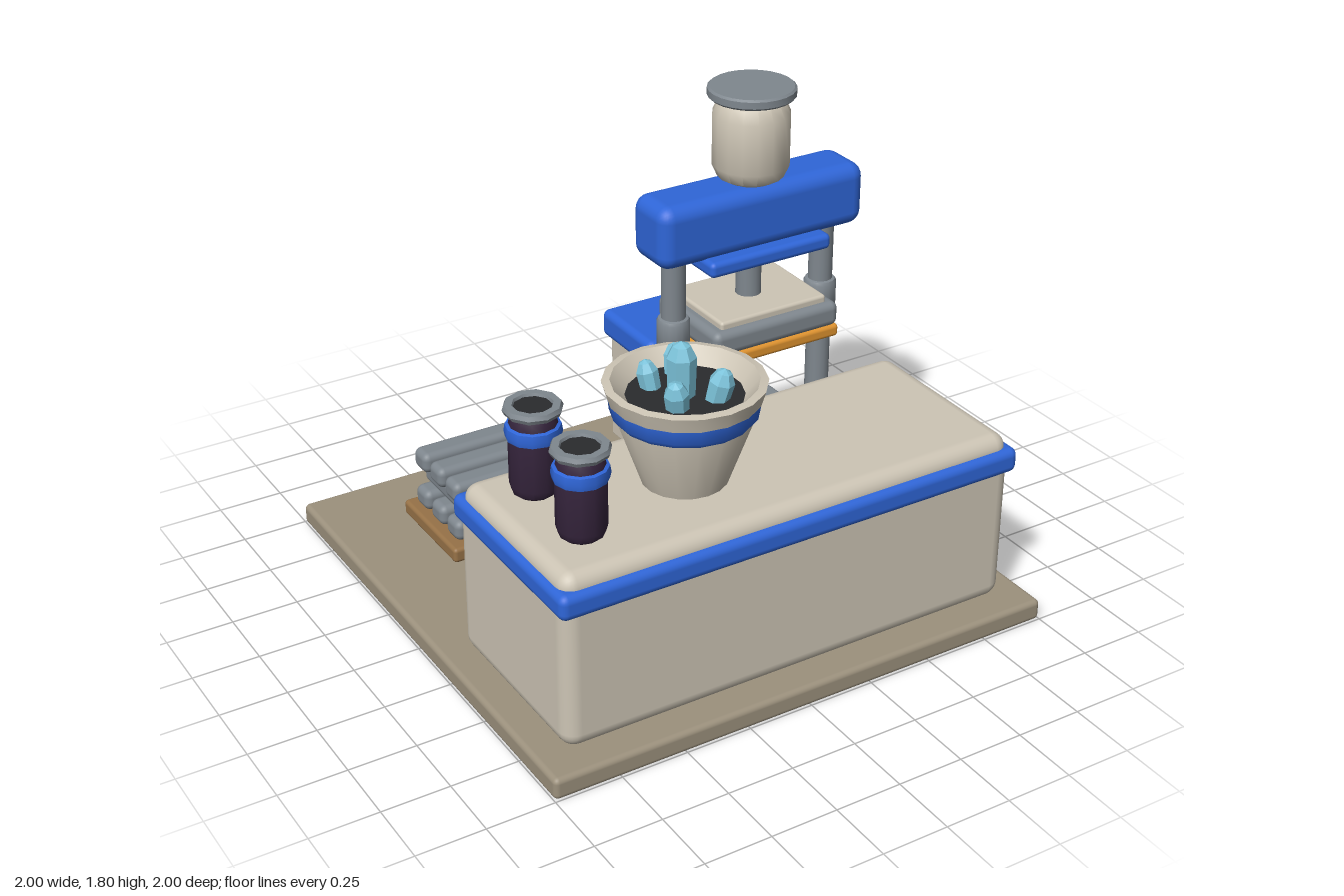
import * as THREE from 'three';
import { RoundedBoxGeometry } from 'three/addons/geometries/RoundedBoxGeometry.js';
import { toCreasedNormals } from 'three/addons/utils/BufferGeometryUtils.js';

const mat = (color, extra = {}) => new THREE.MeshStandardMaterial({ color, ...extra });
const M = {
  cream: mat(0xcdc5b5), blue: mat(0x2f66d8), grey: mat(0x7f878e), tan: mat(0x9c917d),
  brown: mat(0x977247), dark: mat(0x2a2b2e), purple: mat(0x35243c), orange: mat(0xdf932f),
  crystal: mat(0x7cc3da, { flatShading: true }),
};

function add(parent, name, geometry, material, x = 0, y = 0, z = 0) {
  const mesh = new THREE.Mesh(geometry, material);
  mesh.name = name;
  mesh.position.set(x, y, z);
  parent.add(mesh);
  return mesh;
}

// Rounded box given by its [min, max] range on each axis
function box(parent, name, material, [x0, x1], [y0, y1], [z0, z1], radius = 0.015) {
  const w = x1 - x0, h = y1 - y0, d = z1 - z0;
  const r = Math.min(radius, w * 0.49, h * 0.49, d * 0.49);
  return add(parent, name, new RoundedBoxGeometry(w, h, d, 3, r), material,
    (x0 + x1) / 2, (y0 + y1) / 2, (z0 + z1) / 2);
}

// Turned part from [radius, height] pairs, bottom to top
function turned(parent, name, material, points, x, z, sides = 16) {
  const profile = points.map(([r, y]) => new THREE.Vector2(r, y));
  const geometry = toCreasedNormals(new THREE.LatheGeometry(profile, sides), 0.7);
  return add(parent, name, geometry, material, x, 0, z);
}

const rod = (parent, name, material, r, y0, y1, x, z, sides = 16) =>
  turned(parent, name, material, [[0, y0], [r, y0], [r, y1], [0, y1]], x, z, sides);

function group(parent, name) {
  const g = new THREE.Group();
  g.name = name;
  parent.add(g);
  return g;
}

function buildCounter(root) {
  const g = group(root, 'counter');
  box(g, 'counterBody', M.cream, [-0.9, 0.9], [0.08, 0.69], [0.155, 0.9], 0.06);
  box(g, 'counterBand', M.blue, [-0.915, 0.915], [0.6, 0.695], [0.147, 0.915], 0.03);
  box(g, 'counterTop', M.cream, [-0.893, 0.893], [0.62, 0.745], [0.17, 0.89], 0.055);

  // Round gauge and vents on the end wall
  const gauge = group(g, 'gauge');
  gauge.position.set(0.89, 0.375, 0.69);
  gauge.rotation.z = -Math.PI / 2;
  rod(gauge, 'gaugeRing', M.grey, 0.135, 0, 0.03, 0, 0, 20);
  rod(gauge, 'gaugeFace', M.orange, 0.09, 0, 0.042, 0, 0, 20);
  for (const y of [0.25, 0.353, 0.455])
    box(g, 'vent', M.purple, [0.885, 0.915], [y - 0.025, y + 0.025], [0.22, 0.49], 0.012);

  // Roller shutter on the back
  box(g, 'shutterPanel', M.dark, [-0.635, -0.195], [0.085, 0.47], [0.146, 0.18], 0.005);
  for (let i = 0; i < 5; i++)
    box(g, 'shutterSlat', M.dark, [-0.635, -0.195], [0.088 + i * 0.075, 0.158 + i * 0.075], [0.14, 0.17], 0.008);
  box(g, 'shutterRoller', M.dark, [-0.66, -0.17], [0.45, 0.495], [0.13, 0.18], 0.02);
}

function buildHopper(root) {
  const g = group(root, 'hopper'), x = -0.23, z = 0.54;
  turned(g, 'hopperCone', M.cream, [[0, 0.73], [0.145, 0.73], [0.24, 1.0], [0.24, 1.06]], x, z, 18);
  turned(g, 'hopperBand', M.blue, [[0.22, 0.99], [0.237, 0.99], [0.253, 1.01], [0.258, 1.06], [0.22, 1.06]], x, z, 18);
  turned(g, 'hopperRim', M.cream,
    [[0.22, 1.06], [0.262, 1.06], [0.278, 1.115], [0.25, 1.12], [0.19, 1.05]], x, z, 18);
  rod(g, 'hopperFill', M.dark, 0.2, 1.03, 1.065, x, z, 18);
  // x, z, radius, tip height, lean in x, lean in z
  const crystals = [
    [-0.245, 0.54, 0.052, 1.262, 0, 0], [-0.3, 0.445, 0.038, 1.165, 0.12, -0.2],
    [-0.187, 0.4, 0.036, 1.17, -0.12, -0.2], [-0.3, 0.61, 0.043, 1.175, 0.18, 0.15],
    [-0.162, 0.62, 0.045, 1.18, -0.18, 0.15],
  ];
  for (const [cx, cz, r, tip, lx, lz] of crystals) {
    const h = tip - 1.04;
    const shape = [[0, 0], [r * 0.9, 0], [r, h - r * 1.1], [r * 0.6, h - r * 0.3], [0, h]];
    const geometry = new THREE.LatheGeometry(shape.map(p => new THREE.Vector2(...p)), 7);
    const mesh = add(g, 'crystal', geometry, M.crystal, cx, 1.04, cz);
    mesh.rotation.set(lz, 0, lx);
  }
}

function buildJar(root, z) {
  const g = group(root, 'jar'), x = -0.71;
  turned(g, 'jarBody', M.purple, [[0, 0.745], [0.06, 0.748], [0.078, 0.762], [0.086, 0.79],
    [0.086, 1.0], [0.078, 1.035], [0.065, 1.06], [0, 1.06]], x, z, 12);
  turned(g, 'jarBand', M.blue, [[0.08, 0.96], [0.094, 0.965], [0.098, 0.985], [0.094, 1.01], [0.08, 1.015]], x, z, 12);
  turned(g, 'jarRim', M.grey, [[0.06, 1.055], [0.096, 1.055], [0.103, 1.07], [0.096, 1.085],
    [0.07, 1.085], [0.063, 1.065]], x, z, 10);
  rod(g, 'jarMouth', M.dark, 0.07, 1.05, 1.075, x, z, 10);
}

function buildPress(root) {
  const g = group(root, 'press'), x = 0.457, z = -0.123;
  const slab = (name, material, halfX, y, halfZ, r) =>
    box(g, name, material, [x - halfX, x + halfX], y, [z - halfZ, z + halfZ], r);

  slab('pedestal', M.cream, 0.265, [0.08, 0.41], 0.267, 0.07);
  slab('anvilPlate', M.grey, 0.225, [0.4, 0.465], 0.175, 0.02);
  slab('heatPlate', M.orange, 0.27, [0.823, 0.872], 0.205, 0.015);
  slab('pressPlate', M.grey, 0.27, [0.866, 0.963], 0.205, 0.03);
  slab('pressPad', M.cream, 0.228, [0.95, 0.99], 0.175, 0.012);
  slab('beamPlate', M.blue, 0.258, [1.16, 1.22], 0.155, 0.02);
  slab('beam', M.blue, 0.436, [1.203, 1.444], 0.113, 0.055);
  rod(g, 'ram', M.grey, 0.048, 0.98, 1.18, x, z);

  for (const side of [-1, 1]) {
    const cx = x + side * 0.323;
    box(g, 'columnFoot', M.cream, [cx - 0.08, cx + 0.08], [0.08, 0.355], [z - 0.134, z + 0.134], 0.045);
    rod(g, 'column', M.grey, 0.046, 0.33, 1.23, cx, z);
    turned(g, 'columnCollar', M.grey, [[0.046, 0.845], [0.056, 0.848], [0.062, 0.86],
      [0.062, 0.955], [0.056, 0.967], [0.046, 0.97]], cx, z);
  }

  // Rounded tank and lid on top of the beam
  turned(g, 'tank', M.cream, [[0, 1.435], [0.085, 1.44], [0.122, 1.46], [0.142, 1.505],
    [0.142, 1.695], [0.122, 1.74], [0.085, 1.76], [0, 1.765]], x, z, 16);
  turned(g, 'tankLid', M.grey, [[0, 1.757], [0.152, 1.757], [0.16, 1.765], [0.16, 1.79],
    [0.152, 1.797], [0, 1.797]], x, z, 24);
}

function buildCooler(root) {
  const g = group(root, 'coolingTower');
  const xs = [0.3, 0.614], zs = [-0.86, -0.55], t = 0.04;
  box(g, 'towerLid', M.blue, [0.272, 0.642], [0.525, 0.64], [-0.893, -0.52], 0.03);
  box(g, 'sidePanel', M.cream, [xs[0], xs[0] + 0.03], [0.08, 0.54], zs, 0.006);
  box(g, 'towerFloor', M.cream, xs, [0.08, 0.105], zs, 0.006);
  for (const px of [xs[0], xs[1] - t])
    for (const pz of [zs[0], zs[1] - t])
      box(g, 'towerPost', M.cream, [px, px + t], [0.08, 0.54], [pz, pz + t], 0.006);
  for (let i = 0; i < 4; i++)
    box(g, 'coolingFin', M.dark, [0.33, 0.595], [0.15 + i * 0.086, 0.19 + i * 0.086], [-0.822, -0.588], 0.012);
  // Connector and pipes toward the press
  box(g, 'connector', M.blue, [0.326, 0.588], [0.522, 0.558], [-0.54, -0.468], 0.012);
  for (const px of [0.364, 0.546]) {
    const pipe = add(g, 'pipe', new THREE.CylinderGeometry(0.014, 0.014, 0.2, 10), M.grey, px, 0.452, -0.475);
    pipe.rotation.x = Math.PI / 2;
  }
}

function buildPallet(root) {
  const g = group(root, 'barStack'), cx = -0.438, cz = -0.523;
  box(g, 'pallet', M.brown, [-0.695, -0.18], [0.08, 0.14], [-0.738, -0.31], 0.015);
  // Three crossed layers of metal bars
  for (let layer = 0; layer < 3; layer++) {
    const y = [0.14 + layer * 0.081, 0.222 + layer * 0.081];
    for (const i of [-1, 0, 1]) {
      if (layer === 1) {
        const x = cx + i * 0.13;
        box(g, 'metalBar', M.grey, [x - 0.052, x + 0.052], y, [cz - 0.185, cz + 0.185], 0.028);
      } else {
        const z = cz + i * 0.127;
        box(g, 'metalBar', M.grey, [cx - 0.226, cx + 0.226], y, [z - 0.05, z + 0.05], 0.028);
      }
    }
  }
}

export function createModel() {
  const root = new THREE.Group();
  root.name = 'workshop';
  box(root, 'floorSlab', M.tan, [-1, 1], [0, 0.082], [-1, 1], 0.02);
  buildCounter(root);
  buildHopper(root);
  for (const z of [0.37, 0.685]) buildJar(root, z);
  buildPress(root);
  buildCooler(root);
  buildPallet(root);
  return root;
}
